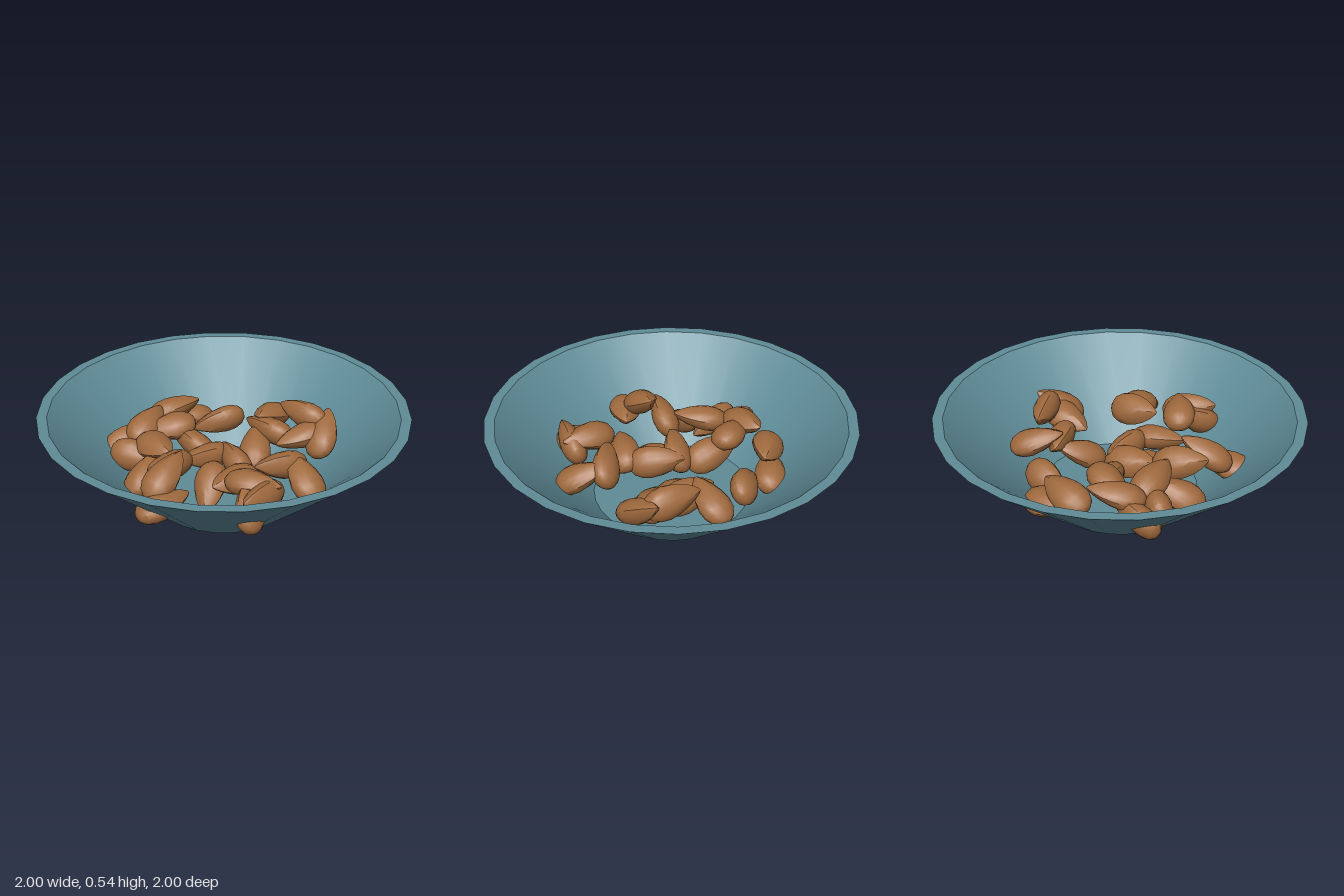
import * as THREE from 'three';
import { toCreasedNormals } from 'three/addons/utils/BufferGeometryUtils.js';

const RAD = Math.PI / 180;

// Closed lathe profile: foot, outer wall, flat rim, inner wall, floor
function makeBowl() {
  const profile = [[0, 0], [0.4, 0], [1, 0.535], [0.945, 0.535], [0.435, 0.05], [0, 0.05]]
    .map(([r, y]) => new THREE.Vector2(r, y));
  const geometry = toCreasedNormals(new THREE.LatheGeometry(profile, 28), 0.5);
  const bowl = new THREE.Mesh(geometry, new THREE.MeshStandardMaterial({ color: 0x5f8c98 }));
  bowl.name = 'bowl';
  return bowl;
}

// Flattened teardrop along x, point at +x, with long grooves that deepen toward the point
function makeNutGeometry() {
  const profile = [[0, -0.15], [0.035, -0.145], [0.066, -0.122], [0.087, -0.08], [0.093, -0.03],
    [0.086, 0.025], [0.068, 0.08], [0.041, 0.127], [0.014, 0.158], [0, 0.165]]
    .map(([r, y]) => new THREE.Vector2(r, y));
  const geometry = new THREE.LatheGeometry(profile, 16);
  const p = geometry.attributes.position;
  for (let i = 0; i < p.count; i++) {
    const along = p.getY(i);
    const angle = Math.atan2(p.getZ(i), p.getX(i));
    const tip = THREE.MathUtils.smoothstep(along, -0.06, 0.13);
    const groove = 1 - 0.2 * tip * (0.5 - 0.5 * Math.cos(angle * 4));
    p.setXYZ(i, p.getX(i) * groove, along, p.getZ(i) * groove * 0.76);
  }
  geometry.rotateZ(-Math.PI / 2);
  return toCreasedNormals(geometry, 0.6);
}

// Each nut: x, y, z, heading of the point (degrees, +x toward +z), upward tilt
const NUTS = [
  [-0.27, 0.21, -0.48, 149, 8],
  [-0.35, 0.30, -0.40, -27, 12],
  [-0.08, 0.22, -0.435, 157, -10],
  [0.22, 0.29, -0.42, 112, 20],
  [0.155, 0.20, -0.17, -93, 28],
  [0.235, 0.27, -0.275, -155, 10],
  [0.42, 0.36, -0.31, -150, 8],
  [0.42, 0.29, -0.19, 150, -8],
  [0.53, 0.31, -0.19, -80, 35],
  [-0.56, 0.24, -0.09, -35, 25],
  [-0.46, 0.32, -0.16, -70, 15],
  [-0.33, 0.31, -0.165, 165, -8],
  [-0.19, 0.24, -0.13, -150, 20],
  [-0.48, 0.23, 0.05, 10, -8],
  [-0.37, 0.31, 0.06, 50, 12],
  [-0.41, 0.21, 0.20, -65, 28],
  [-0.26, 0.31, 0.25, 125, 15],
  [-0.26, 0.34, 0.41, -60, 30],
  [-0.25, 0.24, 0.53, -42, 8],
  [-0.09, 0.25, 0.03, 135, 12],
  [0.07, 0.25, 0.06, -123, 10],
  [-0.05, 0.16, 0.20, 92, -30],
  [0.10, 0.25, 0.26, 133, 8],
  [0.33, 0.32, 0.19, 145, 12],
  [0.46, 0.29, 0.26, -123, 28],
  [0.20, 0.34, 0.42, 20, 8],
  [0.20, 0.27, 0.53, -95, 30],
  [0.26, 0.31, 0.50, 120, 15],
];
// Roll about the long axis, cycled through the pile
const ROLLS = [15, -25, 60, 5, -10, 50, 75];

export function createModel() {
  const model = new THREE.Group();
  model.name = 'bowlOfNuts';
  model.add(makeBowl());

  const pile = new THREE.Group();
  pile.name = 'nuts';
  const geometry = makeNutGeometry();
  const material = new THREE.MeshStandardMaterial({ color: 0xa06a3e });
  NUTS.forEach(([x, y, z, heading, tilt], i) => {
    const nut = new THREE.Mesh(geometry, material);
    nut.name = `nut${i + 1}`;
    nut.position.set(x, y, z);
    nut.rotation.set(ROLLS[i % ROLLS.length] * RAD + Math.PI / 2, -heading * RAD, tilt * RAD, 'YZX');
    pile.add(nut);
  });
  model.add(pile);
  return model;
}
